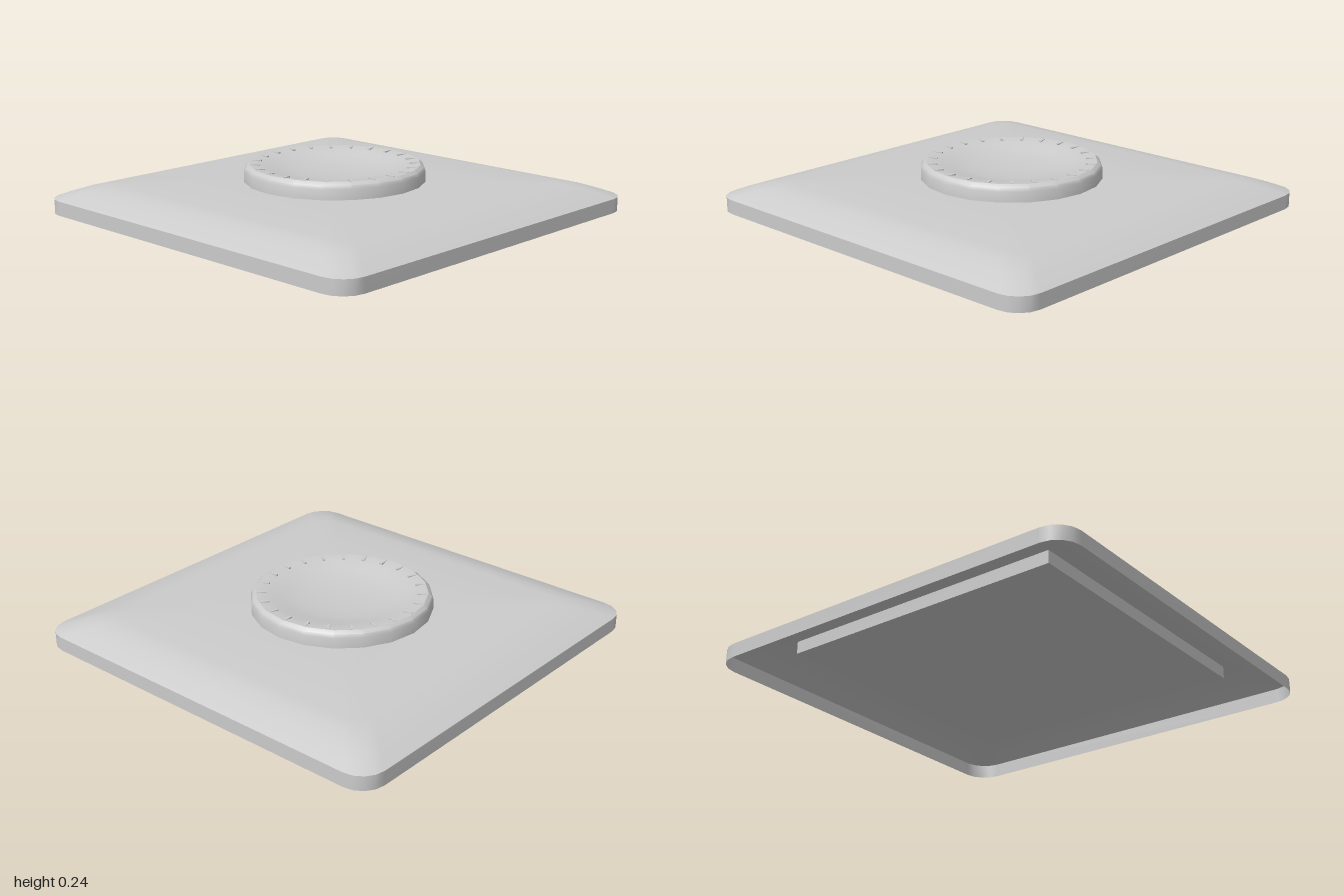
import * as THREE from 'three';
import { toCreasedNormals } from 'three/addons/utils/BufferGeometryUtils.js';

const grey = new THREE.MeshStandardMaterial({ color: 0xcccccc });
const greyThin = new THREE.MeshStandardMaterial({ color: 0xcccccc, side: THREE.DoubleSide });

const CORNER_STEPS = 4;
const KNOB_Z = -0.015;

// Outline of a rounded square, running from +x towards +z
function roundedSquare(half, radius, y) {
  const points = [];
  for (let corner = 0; corner < 4; corner++) {
    const sx = corner === 0 || corner === 3 ? 1 : -1;
    const sz = corner < 2 ? 1 : -1;
    for (let i = 0; i <= CORNER_STEPS; i++) {
      const a = (corner + i / CORNER_STEPS) * Math.PI / 2;
      points.push([
        sx * (half - radius) + radius * Math.cos(a), y,
        sz * (half - radius) + radius * Math.sin(a),
      ]);
    }
  }
  return points;
}

// Skin through rounded squares given as [half width, corner radius, height]
function loft(sections) {
  const rings = sections.map((s) => roundedSquare(...s));
  const n = rings[0].length;
  const index = [];
  for (let r = 0; r < rings.length - 1; r++) {
    for (let j = 0; j < n; j++) {
      const a = r * n + j, b = r * n + (j + 1) % n;
      index.push(a, a + n, b, b, a + n, b + n);
    }
  }
  const geometry = new THREE.BufferGeometry();
  geometry.setAttribute('position', new THREE.Float32BufferAttribute(rings.flat(2), 3));
  geometry.setIndex(index);
  geometry.computeVertexNormals();
  return geometry;
}

function addMesh(parent, name, geometry, material = grey) {
  const mesh = new THREE.Mesh(geometry, material);
  mesh.name = name;
  parent.add(mesh);
  return mesh;
}

export function createModel() {
  const model = new THREE.Group();
  model.name = 'wallDimmer';

  // Hollow cover plate: upright rim and shallow dome
  const plate = new THREE.Group();
  plate.name = 'coverPlate';
  model.add(plate);
  addMesh(plate, 'plateRim', loft([[1, 0.12, 0], [1, 0.12, 0.07]]), greyThin);
  addMesh(plate, 'plateDome', loft([
    [1, 0.12, 0.07], [0.95, 0.11, 0.092], [0.89, 0.1, 0.115], [0.83, 0.09, 0.132],
    [0.77, 0.08, 0.14], [0.6, 0.06, 0.148], [0.45, 0.05, 0.154], [0, 0, 0.155],
  ]), greyThin);

  // Square block beneath the dome
  addMesh(model, 'backBlock', new THREE.BoxGeometry(1.47, 0.062, 1.47)).position.y = 0.106;

  // Rotary knob with a dished top
  const knob = new THREE.Group();
  knob.name = 'knob';
  knob.position.z = KNOB_Z;
  model.add(knob);
  const profile = [
    [0.44, 0.14], [0.44, 0.205], [0.433, 0.222], [0.415, 0.235], [0.39, 0.233],
    [0.34, 0.225], [0.28, 0.208], [0.2, 0.194], [0.1, 0.187], [0, 0.185],
  ].map(([r, y]) => new THREE.Vector2(r, y));
  addMesh(knob, 'knobBody', toCreasedNormals(new THREE.LatheGeometry(profile, 20), 0.6));

  // Tick marks around the edge of the dish
  const tick = new THREE.BoxGeometry(0.014, 0.016, 0.045);
  const count = 23;
  for (let i = 0; i < count; i++) {
    const a = Math.PI + 0.07 - (i / count) * Math.PI * 2;
    const mark = addMesh(knob, 'tickMark', tick);
    mark.position.set(0.383 * Math.sin(a), 0.228, 0.383 * Math.cos(a));
    mark.rotation.y = a;
  }

  return model;
}
